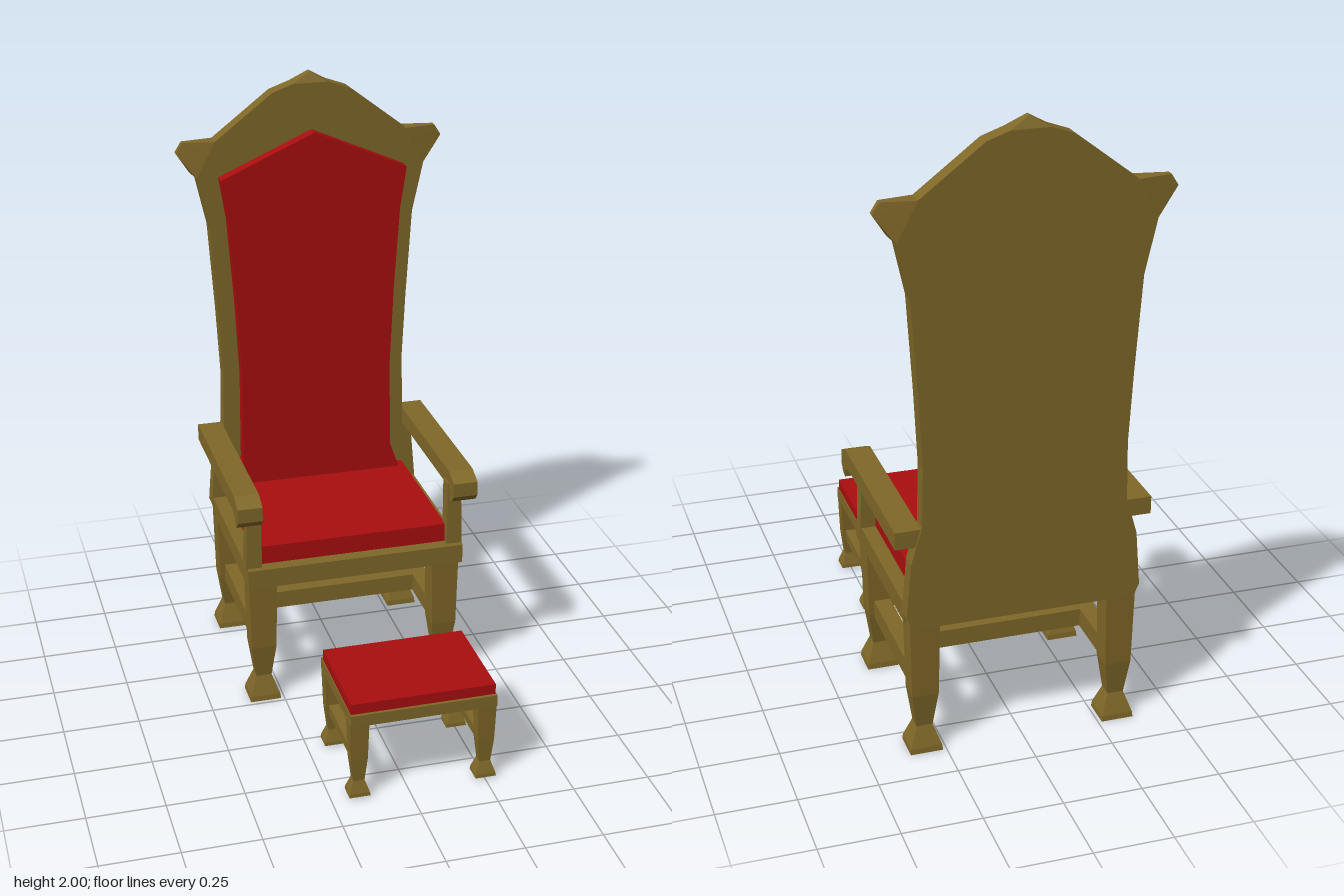
import * as THREE from 'three';

const wood = new THREE.MeshStandardMaterial({ color: 0x806828, flatShading: true });
const velvet = new THREE.MeshStandardMaterial({ color: 0xaa0e0e, flatShading: true });

function add(parent, name, geometry, material = wood) {
  const mesh = new THREE.Mesh(geometry, material);
  mesh.name = name;
  parent.add(mesh);
  return mesh;
}

// Box given by its limits on each axis
function block(parent, name, [x0, x1], [y0, y1], [z0, z1], material) {
  const g = new THREE.BoxGeometry(x1 - x0, y1 - y0, z1 - z0);
  g.translate((x0 + x1) / 2, (y0 + y1) / 2, (z0 + z1) / 2);
  return add(parent, name, g, material);
}

// Square leg lofted through rows of [height, half width, half depth], bottom to top
function leg(parent, name, x, z, rows) {
  const n = rows.length - 1;
  const g = new THREE.BoxGeometry(1, 1, 1, 1, n, 1);
  const p = g.attributes.position;
  for (let i = 0; i < p.count; i++) {
    const [y, w, d] = rows[Math.round((p.getY(i) + 0.5) * n)];
    p.setXYZ(i, x + Math.sign(p.getX(i)) * w, y, z + Math.sign(p.getZ(i)) * d);
  }
  return add(parent, name, g);
}

// Symmetric outline: right-hand points from bottom to top, ending on the centre line
function mirroredShape(points) {
  const left = points.slice(0, -1).reverse().map(([x, y]) => [-x, y]);
  return new THREE.Shape([...points, ...left].map(([x, y]) => new THREE.Vector2(x, y)));
}

function extrude(shape, depth) {
  return new THREE.ExtrudeGeometry(shape, { depth, bevelEnabled: false });
}

function createThrone() {
  const throne = new THREE.Group();
  throne.name = 'throne';

  // Tall back, thinned towards the crest and the two ears
  const backOutline = [
    [0.355, 0.44], [0.372, 0.48], [0.357, 0.66], [0.322, 0.78], [0.318, 0.97],
    [0.33, 1.2], [0.35, 1.5], [0.388, 1.67], [0.41, 1.69], [0.452, 1.755],
    [0.43, 1.79], [0.325, 1.79], [0.13, 1.94], [0.06, 1.965], [0, 2]
  ];
  const back = extrude(mirroredShape(backOutline), 0.055);
  back.translate(0, 0, -0.0275);
  const p = back.attributes.position;
  for (let i = 0; i < p.count; i++) {
    const thin = Math.abs(p.getX(i)) > 0.405 || p.getY(i) > 1.98;
    p.setZ(i, p.getZ(i) * (thin ? 0.4 : 1));
  }
  back.translate(0, 0, -0.5975);
  back.computeVertexNormals();
  add(throne, 'backrest', back);

  const padOutline = [
    [0.29, 0.55], [0.297, 0.57], [0.265, 0.66], [0.262, 0.97],
    [0.275, 1.25], [0.295, 1.53], [0.317, 1.67], [0, 1.81]
  ];
  const pad = extrude(mirroredShape(padOutline), 0.047);
  pad.translate(0, 0, -0.573);
  add(throne, 'backCushion', pad, velvet);

  // Seat
  block(throne, 'seatFrame', [-0.367, 0.367], [0.44, 0.505], [-0.575, 0]);
  block(throne, 'seatCushion', [-0.32, 0.32], [0.5, 0.568], [-0.57, -0.044], velvet);

  // Armrest side profile in (z, y) with a curled front end
  const armProfile = new THREE.Shape([
    [-0.618, 0.715], [-0.055, 0.715], [-0.015, 0.695], [-0.012, 0.67], [0.012, 0.678],
    [0.03, 0.7], [0.03, 0.748], [-0.025, 0.772], [-0.618, 0.772]
  ].map(([z, y]) => new THREE.Vector2(-z, y)).reverse());

  const legRows = [
    [0, 0.052, 0.049], [0.018, 0.05, 0.047], [0.085, 0.026, 0.024],
    [0.2, 0.042, 0.038], [0.45, 0.047, 0.041]
  ];
  for (const side of [-1, 1]) {
    const label = side < 0 ? 'right' : 'left';
    const arm = extrude(armProfile, 0.082);
    arm.rotateY(Math.PI / 2);
    arm.translate(side * 0.363 - 0.041, 0, 0);
    add(throne, label + 'Armrest', arm);

    // Post leaning slightly outward at the foot
    const post = new THREE.BoxGeometry(0.046, 0.235, 0.048);
    const q = post.attributes.position;
    for (let i = 0; i < q.count; i++) {
      if (q.getY(i) < 0 && q.getX(i) * side > 0) q.setX(i, q.getX(i) + side * 0.008);
    }
    post.translate(side * 0.34, 0.6125, -0.044);
    add(throne, label + 'ArmPost', post);

    leg(throne, label + 'FrontLeg', side * 0.314, -0.064, legRows);
    leg(throne, label + 'BackLeg', side * 0.314, -0.58, legRows);
    const x = side * 0.312;
    block(throne, label + 'Stretcher', [x - 0.027, x + 0.027], [0.187, 0.25], [-0.56, -0.08]);
  }
  block(throne, 'crossStretcher', [-0.3, 0.3], [0.19, 0.25], [-0.35, -0.295]);
  return throne;
}

function createFootstool() {
  const stool = new THREE.Group();
  stool.name = 'footstool';
  block(stool, 'stoolFrame', [-0.236, 0.236], [0.266, 0.305], [-0.184, 0.184]);
  block(stool, 'stoolCushion', [-0.233, 0.233], [0.3, 0.34], [-0.17, 0.173], velvet);

  const legRows = [
    [0.008, 0.034, 0.03], [0.02, 0.032, 0.029], [0.06, 0.018, 0.016],
    [0.14, 0.027, 0.021], [0.275, 0.031, 0.025]
  ];
  for (const side of [-1, 1]) {
    const label = side < 0 ? 'right' : 'left';
    leg(stool, label + 'StoolFrontLeg', side * 0.206, 0.152, legRows);
    leg(stool, label + 'StoolBackLeg', side * 0.206, -0.152, legRows);
    const x = side * 0.206;
    block(stool, label + 'StoolStretcher', [x - 0.018, x + 0.018], [0.122, 0.155], [-0.145, 0.145]);
  }
  stool.position.set(0.045, 0, 0.443);
  return stool;
}

export function createModel() {
  const model = new THREE.Group();
  model.name = 'throneWithFootstool';
  model.add(createThrone(), createFootstool());
  return model;
}
